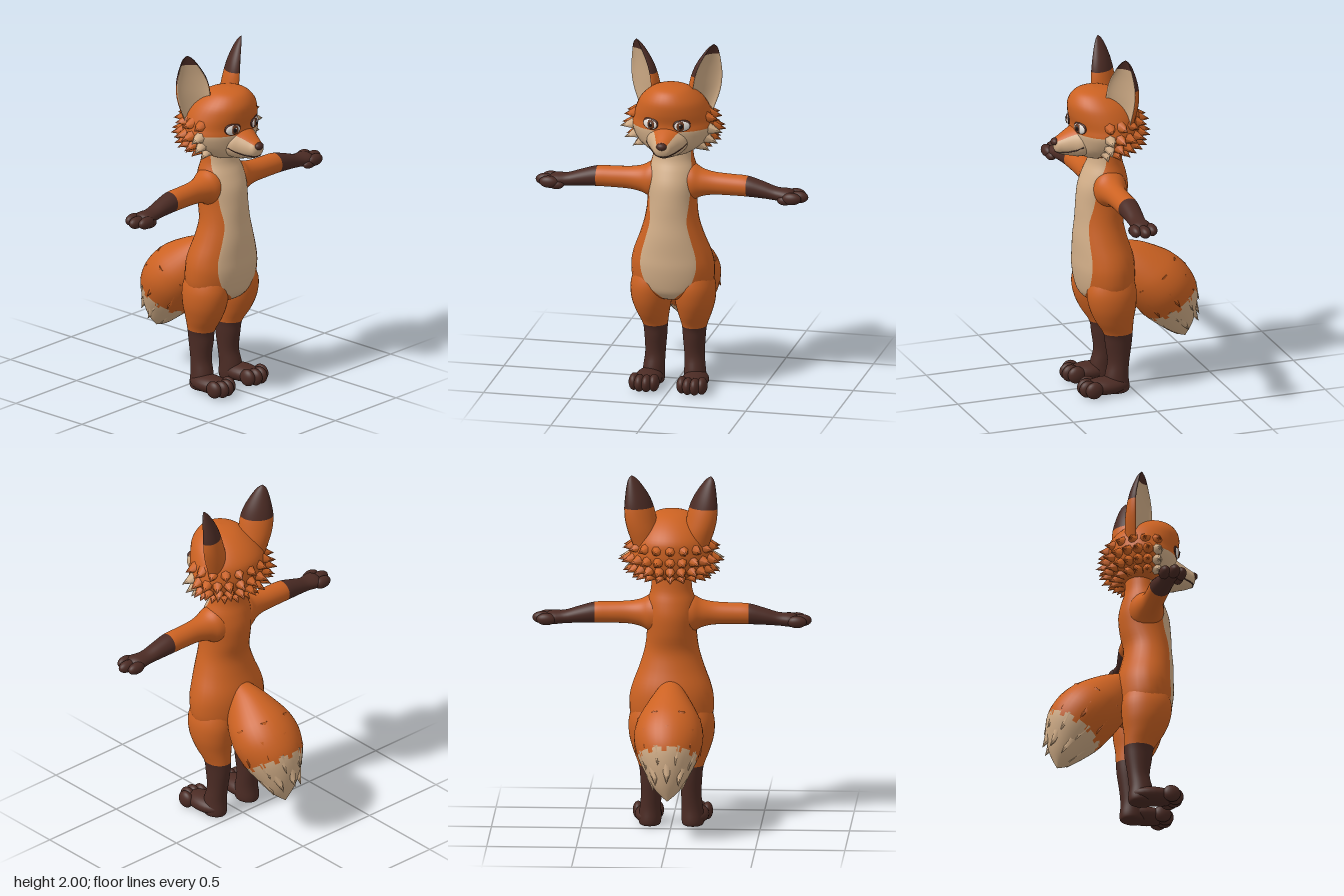
import * as THREE from 'three';

const paint = (name, color) => Object.assign(new THREE.MeshStandardMaterial({ color }), { name });
const V = (x, y, z) => new THREE.Vector3(x, y, z);
const X = V(1, 0, 0), Y = V(0, 1, 0), Z = V(0, 0, 1);
const COLS = 36, FRONT = 14, FINE = 4;

// Rows are [x, y, z, radiusU, radiusV, frontHalfAngle, dip]; smooth them with extra rows between
function refine(rows) {
  const out = [], last = rows.length - 1;
  const at = i => rows[Math.min(Math.max(i, 0), last)];
  for (let i = 0; i < last; i++) for (let k = 0; k < FINE; k++) {
    const t = k / FINE, [a, b, c, d] = [at(i - 1), at(i), at(i + 1), at(i + 2)];
    out.push(b.map((_, n) => {
      const v = 0.5 * (2 * b[n] + (c[n] - a[n]) * t + (2 * a[n] - 5 * b[n] + 4 * c[n] - d[n]) * t * t
        + (3 * b[n] - a[n] - 3 * c[n] + d[n]) * t * t * t);
      return n > 2 ? Math.max(v, 0) : v;
    }));
  }
  out.push(rows[last]);
  return out;
}

// Point on a cross-section; dip presses the front sector inwards
function ringPoint([x, y, z, ru, rv, a = 1.2, dip = 0], u, v, th) {
  const c = Math.cos(th) - dip * Math.max(0, Math.cos(th) - Math.cos(a));
  return V(x, y, z).addScaledVector(u, ru * c).addScaledVector(v, rv * Math.sin(th));
}

// Skin over cross-sections; pick(row, isFront, column) gives the material index of each patch
function loft(name, rows, u, v, mats, pick = () => 0) {
  const fine = refine(rows), pos = [], tris = mats.map(() => []);
  for (const r of fine) {
    const a = Math.max(r[5] ?? Math.PI * FRONT / COLS, 0.03);
    for (let j = 0; j < COLS; j++) {
      const th = j < FRONT ? -a + 2 * a * j / FRONT
        : a + (2 * Math.PI - 2 * a) * (j - FRONT) / (COLS - FRONT);
      pos.push(...ringPoint(r, u, v, th).toArray());
    }
  }
  const axis = V(...rows.at(-1).slice(0, 3)).sub(V(...rows[0].slice(0, 3)));
  const flip = u.clone().cross(v).dot(axis) < 0;
  for (let i = 0; i < fine.length - 1; i++) for (let j = 0; j < COLS; j++) {
    const a = i * COLS + j, b = i * COLS + (j + 1) % COLS, c = b + COLS, d = a + COLS;
    tris[pick(i / FINE, j < FRONT, j)].push(...(flip ? [a, c, b, a, d, c] : [a, b, c, a, c, d]));
  }
  const g = new THREE.BufferGeometry();
  g.setAttribute('position', new THREE.Float32BufferAttribute(pos, 3));
  g.setIndex(tris.flat());
  let start = 0;
  tris.forEach((t, i) => { g.addGroup(start, t.length, i); start += t.length; });
  g.computeVertexNormals();
  return Object.assign(new THREE.Mesh(g, mats), { name });
}

function ball(name, mat, p, r) {
  const g = new THREE.SphereGeometry(1, 24, 16).scale(...r);
  const m = Object.assign(new THREE.Mesh(g, mat), { name });
  m.position.set(...p);
  return m;
}

// Pointed lock of fur
function tuft(name, mat, base, dir, len, r) {
  const d = dir.clone().normalize();
  const m = Object.assign(new THREE.Mesh(new THREE.ConeGeometry(r, len, 7), mat), { name });
  m.quaternion.setFromUnitVectors(Y, d);
  m.position.copy(base).addScaledVector(d, len * 0.4);
  return m;
}

export function createModel() {
  const orange = paint('orange fur', 0xcc6222), cream = paint('cream fur', 0xd2ae88);
  const brown = paint('dark brown fur', 0x4b2b24), white = paint('eye white', 0xe6e2dd);
  const iris = paint('iris brown', 0x6a3a22), black = paint('pupil black', 0x1a1212);
  const fox = new THREE.Group();
  fox.name = 'fox';
  const add = (...m) => fox.add(...m);

  // Torso: y, centre x, depth, half width, half width of the bib
  const torso = [
    [0.515, 0.13, 0.0, 0.0, 0], [0.53, 0.13, 0.09, 0.12, 0.02], [0.57, 0.13, 0.14, 0.19, 0.06],
    [0.63, 0.13, 0.16, 0.23, 0.125], [0.72, 0.135, 0.168, 0.236, 0.158], [0.8, 0.14, 0.163, 0.22, 0.155],
    [0.9, 0.155, 0.148, 0.182, 0.128], [1.0, 0.16, 0.135, 0.152, 0.105], [1.1, 0.148, 0.143, 0.14, 0.113],
    [1.2, 0.138, 0.142, 0.142, 0.12], [1.28, 0.13, 0.12, 0.135, 0.117], [1.35, 0.125, 0.095, 0.115, 0.108],
    [1.45, 0.125, 0.09, 0.11, 0.105],
  ].map(([y, x, rx, rz, w]) => [x, y, 0, rx, rz, rz ? Math.asin(w / rz) : 0.1, 0]);
  add(loft('torso', torso, X, Z, [orange, cream], (t, front) => front ? 1 : 0));

  // Head: cream in the lower front, orange elsewhere
  const skull = [
    [1.375, 0.2, 0, 0], [1.385, 0.195, 0.06, 0.08], [1.415, 0.16, 0.13, 0.145], [1.46, 0.135, 0.175, 0.2],
    [1.53, 0.13, 0.192, 0.232], [1.58, 0.127, 0.193, 0.224], [1.64, 0.137, 0.197, 0.206],
    [1.7, 0.16, 0.175, 0.175], [1.75, 0.18, 0.128, 0.125], [1.775, 0.19, 0.075, 0.075], [1.785, 0.195, 0, 0],
  ].map(([y, x, rx, rz]) => [x, y, 0, rx, rz, 1.3, 0]);
  add(loft('head', skull, X, Z, [orange, cream], (t, front) => front && t < 4.1 ? 1 : 0));

  // Muzzle with an orange bridge
  const muzzle = [
    [0.2, 1.49, 0.09, 0.13], [0.29, 1.48, 0.09, 0.115], [0.34, 1.474, 0.076, 0.085],
    [0.39, 1.466, 0.056, 0.058], [0.42, 1.466, 0.036, 0.04], [0.432, 1.467, 0, 0],
  ].map(([x, y, ry, rz]) => [x, y, 0, ry, rz, 0.75, 0]);
  add(loft('muzzle', muzzle, Y, Z, [cream, orange], (t, front) => front ? 1 : 0));
  add(ball('nose', brown, [0.422, 1.487, 0], [0.023, 0.021, 0.03]));
  const fineMuzzle = refine(muzzle);
  const smile = [[4, 1.65], [7, 1.9], [10, 2.1], [13, 2.3], [15, 2.7]];
  const lip = s => smile.map(([i, th]) => ringPoint(fineMuzzle[i], Y, Z, s * th));
  const line = new THREE.CatmullRomCurve3([...lip(1), ...lip(-1).reverse()]);
  add(Object.assign(new THREE.Mesh(new THREE.TubeGeometry(line, 50, 0.0035, 6), brown), { name: 'mouth' }));

  // Fur around the cheeks and the back of the head
  const fineSkull = refine(skull);
  for (const [row, count, len, droop] of [[10, 11, 0.09, -0.55], [13, 13, 0.1, -0.4], [16, 13, 0.1, -0.2], [21, 11, 0.085, -0.15]])
    for (let k = 0; k < count; k++) {
      const th = 1.35 + (2 * Math.PI - 2.7) * k / (count - 1);
      const dir = V(Math.cos(th) - 0.1, droop, Math.sin(th));
      const p = ringPoint(fineSkull[row], X, Z, th).addScaledVector(dir, -0.02);
      const isCheek = (k === 0 || k === count - 1) && row < 17;
      add(tuft(isCheek ? 'cheekFur' : 'ruffFur', isCheek ? cream : orange, p, dir, len, 0.042));
    }

  for (const s of [1, -1]) {
    const side = s > 0 ? 'A' : 'B';

    // Eye: dark lid rim, white, iris, pupil and glint stacked outwards
    const eye = new THREE.Group();
    eye.name = 'eye' + side;
    eye.add(ball('eyeRim', brown, [0, 0.003, 0], [0.05, 0.036, 0.012]),
      ball('eyeWhite', white, [0, 0, 0.004], [0.044, 0.03, 0.012]),
      ball('iris', iris, [-0.008 * s * -1, 0, 0.011], [0.024, 0.027, 0.007]),
      ball('pupil', black, [0.008 * s, 0, 0.015], [0.013, 0.016, 0.005]),
      ball('glint', white, [0.014 * s, 0.01, 0.019], [0.005, 0.005, 0.003]));
    eye.position.copy(ringPoint(fineSkull[20], X, Z, s * 0.41));
    eye.rotation.y = Math.PI / 2 - s * 0.37;
    add(eye);

    // Ear: a hollow cup facing forwards and outwards
    const ear = [
      [1.6, 0.14, 0.07, 0.075], [1.68, 0.157, 0.08, 0.09], [1.75, 0.171, 0.077, 0.096], [1.82, 0.181, 0.067, 0.092],
      [1.88, 0.191, 0.054, 0.076], [1.94, 0.206, 0.036, 0.05], [1.98, 0.217, 0.018, 0.026], [2.0, 0.222, 0, 0],
    ].map(([y, z, rd, rw]) => [0.083, y, z * s, rd, rw, 1.25, 1.6]);
    add(loft('ear' + side, ear, V(0.75, 0, 0.66 * s), V(-0.66, 0, 0.75 * s), [orange, brown, cream],
      (t, front) => front && t < 4.9 ? 2 : t >= 3 ? 1 : 0));

    // Arm with a dark forearm
    const arm = [
      [0.06, 0.13, 1.2, 0.12, 0.1], [0.12, 0.135, 1.205, 0.105, 0.095], [0.17, 0.14, 1.205, 0.078, 0.077],
      [0.24, 0.143, 1.205, 0.064, 0.062], [0.34, 0.144, 1.204, 0.06, 0.06], [0.43, 0.145, 1.202, 0.058, 0.06],
      [0.52, 0.148, 1.188, 0.047, 0.053], [0.6, 0.153, 1.173, 0.037, 0.049], [0.68, 0.158, 1.168, 0.037, 0.06],
      [0.72, 0.158, 1.166, 0, 0],
    ].map(([z, x, y, ry, rx]) => [x, y, z * s, ry, rx]);
    add(loft('arm' + side, arm, Y, X, [orange, brown], t => t >= 5 ? 1 : 0));

    // Fingers and thumb
    for (const [x, z, r] of [[0.112, 0.7, 0.031], [0.162, 0.725, 0.032], [0.207, 0.695, 0.03]])
      add(ball('finger' + side, brown, [x, 1.165, z * s], [r, 0.034, 0.055]));
    add(ball('thumb' + side, brown, [0.2, 1.15, 0.655 * s], [0.027, 0.026, 0.045]));

    // Leg with a dark stocking
    const leg = [
      [0.74, 0.13, 0.1, 0.11, 0.08], [0.62, 0.13, 0.14, 0.122, 0.114], [0.52, 0.125, 0.135, 0.124, 0.114],
      [0.43, 0.112, 0.11, 0.12, 0.093], [0.35, 0.088, 0.084, 0.112, 0.07], [0.28, 0.085, 0.076, 0.11, 0.063],
      [0.18, 0.086, 0.062, 0.112, 0.057], [0.1, 0.098, 0.067, 0.117, 0.06], [0.03, 0.1, 0.074, 0.12, 0.063],
      [0.004, 0.1, 0.06, 0.12, 0.05], [0, 0.1, 0, 0.12, 0],
    ].map(([y, x, rx, z, rz]) => [x, y, z * s, rx, rz]);
    add(loft('leg' + side, leg, X, Z, [orange, brown], t => t >= 4 ? 1 : 0));

    // Foot and toes
    add(ball('foot' + side, brown, [0.17, 0.05, 0.132 * s], [0.135, 0.05, 0.076]));
    [[0.08, 0.262], [0.118, 0.283], [0.158, 0.283], [0.194, 0.258]].forEach(([z, x]) =>
      add(ball('toe' + side, brown, [x, 0.05, z * s], [0.05, 0.049, 0.03])));
  }

  // Tail with a cream tip and overlapping locks of fur
  const tail = [
    [0.03, 0.83, 0.03, 0.04], [-0.01, 0.77, 0.1, 0.09], [-0.075, 0.695, 0.152, 0.145], [-0.14, 0.63, 0.178, 0.182],
    [-0.205, 0.555, 0.185, 0.193], [-0.265, 0.47, 0.172, 0.168], [-0.31, 0.385, 0.13, 0.122],
    [-0.34, 0.3, 0.07, 0.068], [-0.355, 0.235, 0, 0],
  ].map(([x, y, ru, rv]) => [x, y, 0, ru, rv]);
  const up = V(-0.83, 0.55, 0), along = V(-0.55, -0.83, 0);
  add(loft('tail', tail, up, Z, [orange, cream], (t, f, j) => t >= 5 + 0.25 * (j % 3 === 0) ? 1 : 0));
  const fineTail = refine(tail);
  for (const [row, count] of [[12, 7], [16, 8], [20, 8], [24, 7]])
    for (let k = 0; k < count; k++) {
      const th = (k + (row % 8 ? 0.5 : 0)) * 2 * Math.PI / count;
      const out = up.clone().multiplyScalar(Math.cos(th)).addScaledVector(Z, Math.sin(th));
      const p = ringPoint(fineTail[row], up, Z, th).addScaledVector(out, -0.03);
      add(tuft('tailFur', row >= 20 ? cream : orange, p, along.clone().addScaledVector(out, row > 16 ? -0.1 : 0.2), 0.11, 0.035));
    }
  return fox;
}
